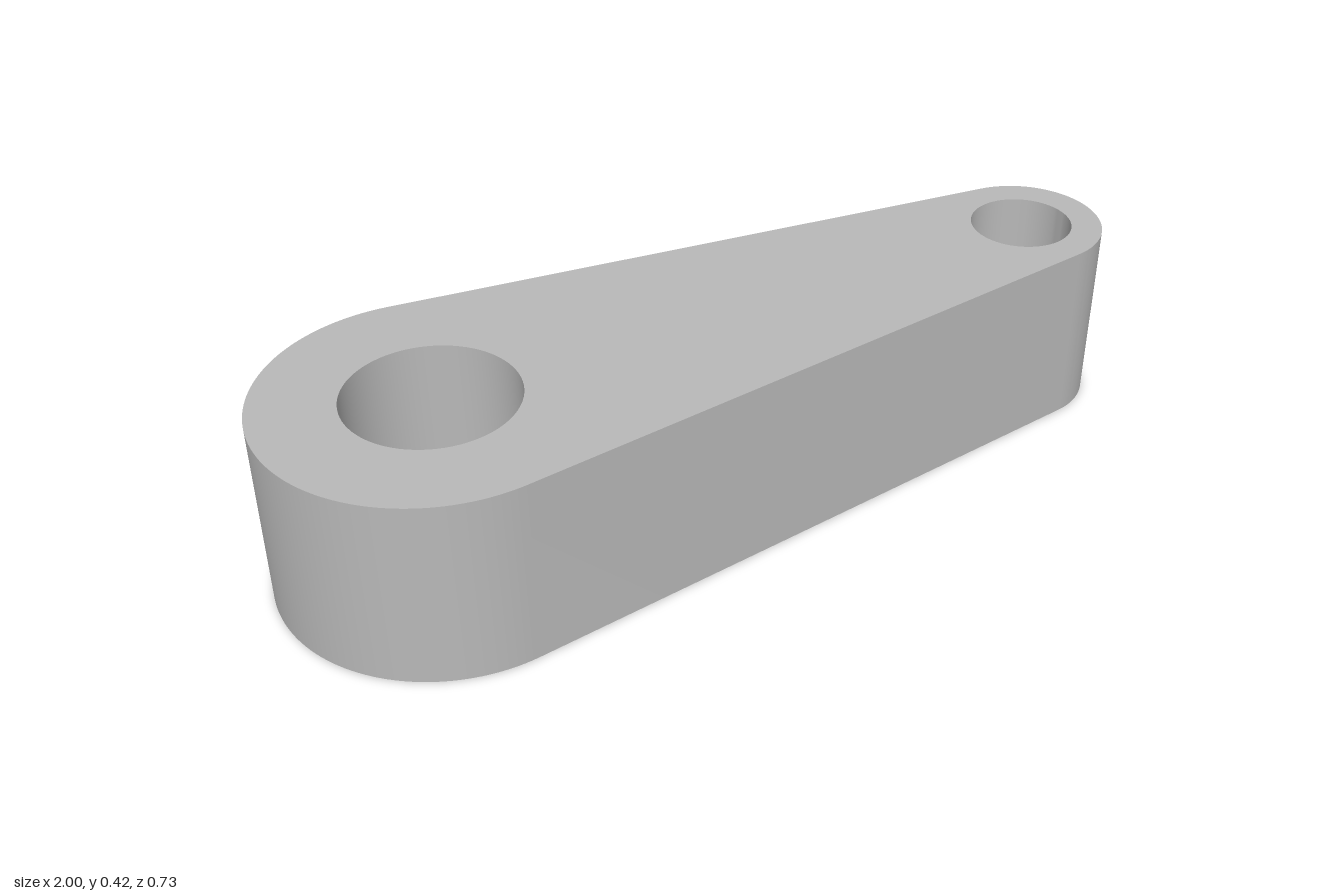
import * as THREE from 'three';
import { toCreasedNormals } from 'three/addons/utils/BufferGeometryUtils.js';

const HEIGHT = 0.423;
const BIG = { x: -0.637, radius: 0.363, bore: 0.183 };
const SMALL = { x: 0.816, radius: 0.184, bore: 0.115 };

// Round bore through the arm
function bore({ x, bore }) {
  return new THREE.Path().absarc(x, 0, bore, 0, Math.PI * 2, true);
}

export function createModel() {
  const group = new THREE.Group();
  group.name = 'linkArm';

  const metal = new THREE.MeshStandardMaterial({ color: 0xb8b8b8 });
  metal.name = 'plain grey';

  // Outline: two round ends joined by their common tangents
  const tangent = Math.acos((BIG.radius - SMALL.radius) / (SMALL.x - BIG.x));
  const outline = new THREE.Shape();
  outline.absarc(BIG.x, 0, BIG.radius, tangent, Math.PI * 2 - tangent, false);
  outline.absarc(SMALL.x, 0, SMALL.radius, -tangent, tangent, false);
  outline.holes.push(bore(BIG), bore(SMALL));

  // Extruded upwards from the ground, with smooth round walls and sharp rims
  const solid = new THREE.ExtrudeGeometry(outline, {
    depth: HEIGHT, bevelEnabled: false, curveSegments: 40,
  });
  solid.rotateX(-Math.PI / 2);

  const arm = new THREE.Mesh(toCreasedNormals(solid, Math.PI / 6), metal);
  arm.name = 'taperedArm';
  group.add(arm);
  return group;
}
